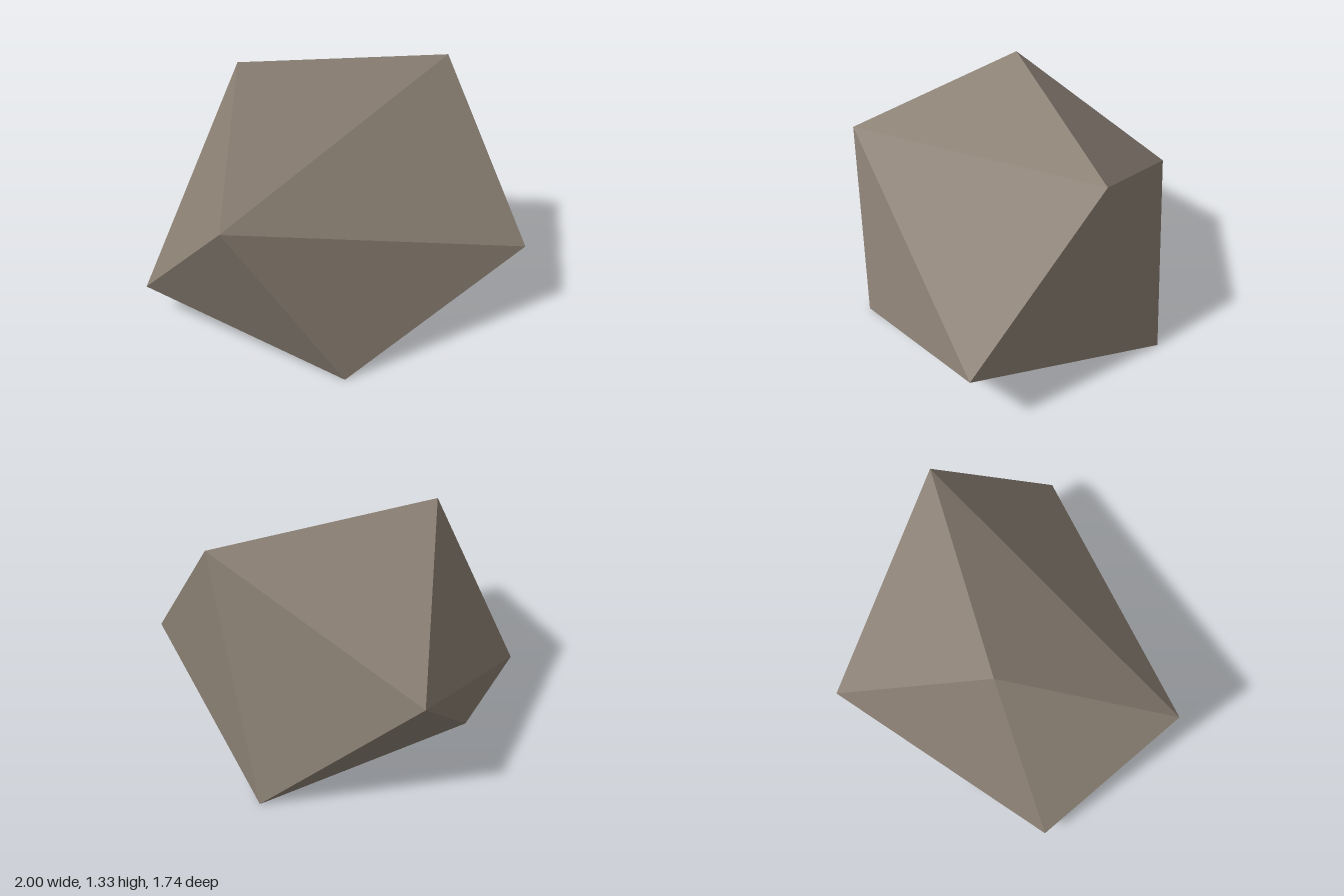
import * as THREE from 'three';
import { ConvexGeometry } from 'three/addons/geometries/ConvexGeometry.js';

export function createModel() {
  const model = new THREE.Group();
  model.name = 'boulder';
  const stone = new THREE.MeshStandardMaterial({ color: 0x8a7f73 });
  stone.name = 'warm grey stone';
  stone.flatShading = true;

  // Corners of the faceted rock
  const corners = [
    // top ridge
    [-0.49, 1.33, -0.04], [0.61, 1.24, -0.42],
    // shoulders: front, back, two sides
    [-0.5, 0.86, 0.87], [-0.41, 0.67, -0.87],
    [1.0, 0.41, 0.21], [-1.0, 0.17, 0.25],
    // flat base
    [0.06, 0, 0.8], [0.38, 0, -0.79], [-0.71, 0, -0.15],
  ].map((p) => new THREE.Vector3(...p));

  // Flat facets wrapped around the corners
  const rock = new THREE.Mesh(new ConvexGeometry(corners), stone);
  rock.name = 'rock';
  model.add(rock);
  return model;
}
